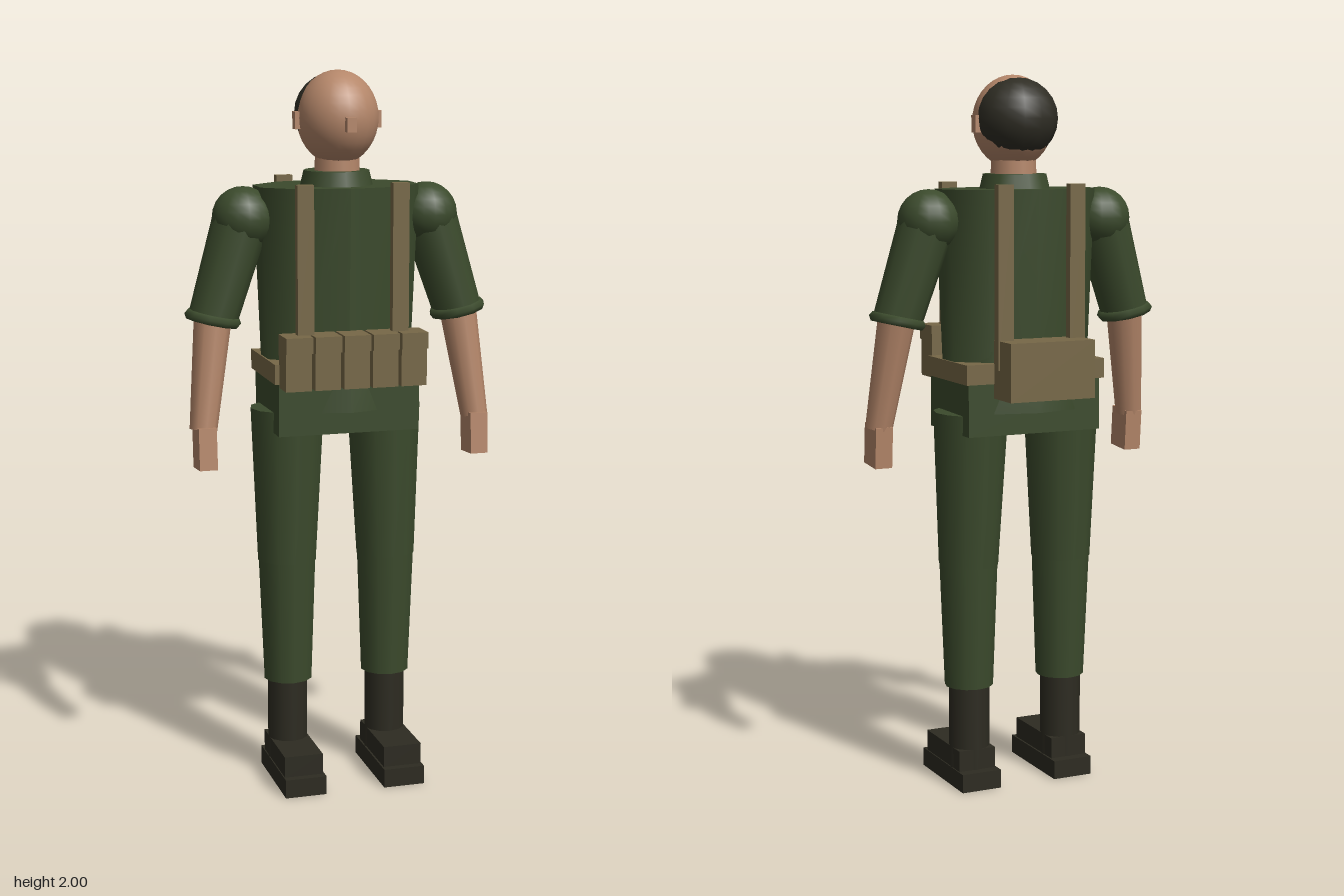
import * as THREE from 'three';

const mat = (name, color) => {
  const m = new THREE.MeshStandardMaterial({ color });
  m.name = name;
  return m;
};

export function createModel() {
  const green = mat('uniform green', 0x3b4a2c);
  const tan = mat('canvas tan', 0x776847);
  const skin = mat('skin', 0xb5876a);
  const leather = mat('boot leather', 0x2d2b21);
  const hairMat = mat('hair', 0x2f2d24);

  const model = new THREE.Group();
  model.name = 'soldier';

  const add = (name, geometry, material, x = 0, y = 0, z = 0, parent = model) => {
    const mesh = new THREE.Mesh(geometry, material);
    mesh.name = name;
    mesh.position.set(x, y, z);
    parent.add(mesh);
    return mesh;
  };

  // Box given by its low and high corners
  const box = (name, material, lo, hi, parent) =>
    add(name, new THREE.BoxGeometry(hi[0] - lo[0], hi[1] - lo[1], hi[2] - lo[2]), material,
      (lo[0] + hi[0]) / 2, (lo[1] + hi[1]) / 2, (lo[2] + hi[2]) / 2, parent);

  const up = new THREE.Vector3(0, 1, 0);
  // Tapered cylinder running from point a (top) to point b (bottom)
  const limb = (name, material, a, b, ra, rb, parent, sides = 10) => {
    const A = new THREE.Vector3(...a), B = new THREE.Vector3(...b);
    const dir = A.clone().sub(B);
    const mid = A.clone().add(B).multiplyScalar(0.5);
    const mesh = add(name, new THREE.CylinderGeometry(ra, rb, dir.length(), sides), material,
      mid.x, mid.y, mid.z, parent);
    mesh.quaternion.setFromUnitVectors(up, dir.normalize());
    return mesh;
  };

  // Elliptical section of the jacket; radii are [x, z]
  const section = (name, y0, y1, bottom, top) => {
    const g = new THREE.CylinderGeometry(top[0], bottom[0], y1 - y0, 10);
    const p = g.attributes.position;
    for (let i = 0; i < p.count; i++) {
      const r = p.getY(i) > 0 ? top : bottom;
      p.setZ(i, p.getZ(i) * r[1] / r[0]);
    }
    g.computeVertexNormals();
    add(name, g, green, 0, (y0 + y1) / 2, 0.01);
  };

  // Jacket
  section('jacketBody', 1.2, 1.69, [0.215, 0.13], [0.235, 0.148]);
  section('jacketHem', 1.08, 1.25, [0.21, 0.155], [0.21, 0.135]);
  box('jacketSkirt', green, [-0.2, 1.02, -0.115], [0.2, 1.165, 0.146]);
  add('collar', new THREE.CylinderGeometry(0.09, 0.102, 0.05, 14), green, 0, 1.705, 0.015);

  // Neck and head
  add('neck', new THREE.CylinderGeometry(0.062, 0.065, 0.1, 12), skin, 0, 1.735, 0.022);
  add('head', new THREE.SphereGeometry(1, 24, 18), skin, 0, 1.872, 0.027).scale.set(0.111, 0.128, 0.12);
  add('hair', new THREE.SphereGeometry(1, 14, 12), hairMat, 0, 1.881, 0).scale.set(0.114, 0.112, 0.11);
  box('nose', skin, [-0.013, 1.84, 0.13], [0.013, 1.878, 0.165]);

  // Belt with five front pouches and a rear pack
  box('belt', tan, [-0.21, 1.165, -0.125], [0.21, 1.22, 0.145]);
  for (let i = -2; i <= 2; i++) {
    const x = i * 0.081;
    box('pouch', tan, [x - 0.036, 1.157, 0.14], [x + 0.036, 1.265, 0.217]);
    box('pouchLid', tan, [x - 0.037, 1.26, 0.14], [x + 0.037, 1.304, 0.226]);
  }
  box('rearPack', tan, [-0.127, 1.125, -0.228], [0.127, 1.285, -0.12]);

  for (const s of [1, -1]) {
    const side = new THREE.Group();
    side.name = s > 0 ? 'leftSide' : 'rightSide';
    model.add(side);

    add('ear', new THREE.BoxGeometry(0.018, 0.047, 0.028), skin, s * 0.113, 1.866, 0.021, side);

    // Shoulder straps
    add('frontStrap', new THREE.BoxGeometry(0.046, 0.44, 0.025), tan, s * 0.133, 1.485, 0.172, side);
    add('rearStrap', new THREE.BoxGeometry(0.046, 0.5, 0.025), tan, s * 0.108, 1.455, -0.147, side);

    // Arm with rolled sleeve
    const elbow = [s * 0.352, 1.335, 0.02];
    add('shoulder', new THREE.SphereGeometry(0.086, 16, 12), green, s * 0.262, 1.605, 0.008, side);
    limb('sleeve', green, [s * 0.268, 1.6, 0.008], elbow, 0.078, 0.068, side);
    const cuff = new THREE.TorusGeometry(0.066, 0.015, 6, 10);
    cuff.rotateX(Math.PI / 2);
    add('sleeveCuff', cuff, green, ...elbow, side).rotation.z = s * 0.22;
    limb('forearm', skin, [s * 0.35, 1.36, 0.02], [s * 0.392, 1.035, 0.064], 0.053, 0.038, side);
    const hand = add('hand', new THREE.BoxGeometry(0.05, 0.115, 0.085), skin, s * 0.39, 0.987, 0.073, side);
    hand.rotation.x = -0.08;

    // Trouser leg
    limb('thigh', green, [s * 0.14, 1.075, 0.006], [s * 0.145, 0.64, 0.014], 0.105, 0.084, side, 12);
    limb('shin', green, [s * 0.145, 0.69, 0.014], [s * 0.144, 0.29, 0.016], 0.084, 0.069, side, 12);

    // Boot
    limb('bootShaft', leather, [s * 0.145, 0.31, 0.013], [s * 0.145, 0.05, 0.013], 0.058, 0.058, side, 12);
    add('bootFoot', new THREE.BoxGeometry(0.11, 0.065, 0.232), leather, s * 0.145, 0.08, 0.074, side);
    add('bootSole', new THREE.BoxGeometry(0.118, 0.053, 0.284), leather, s * 0.144, 0.0265, 0.07, side);
  }
  return model;
}
